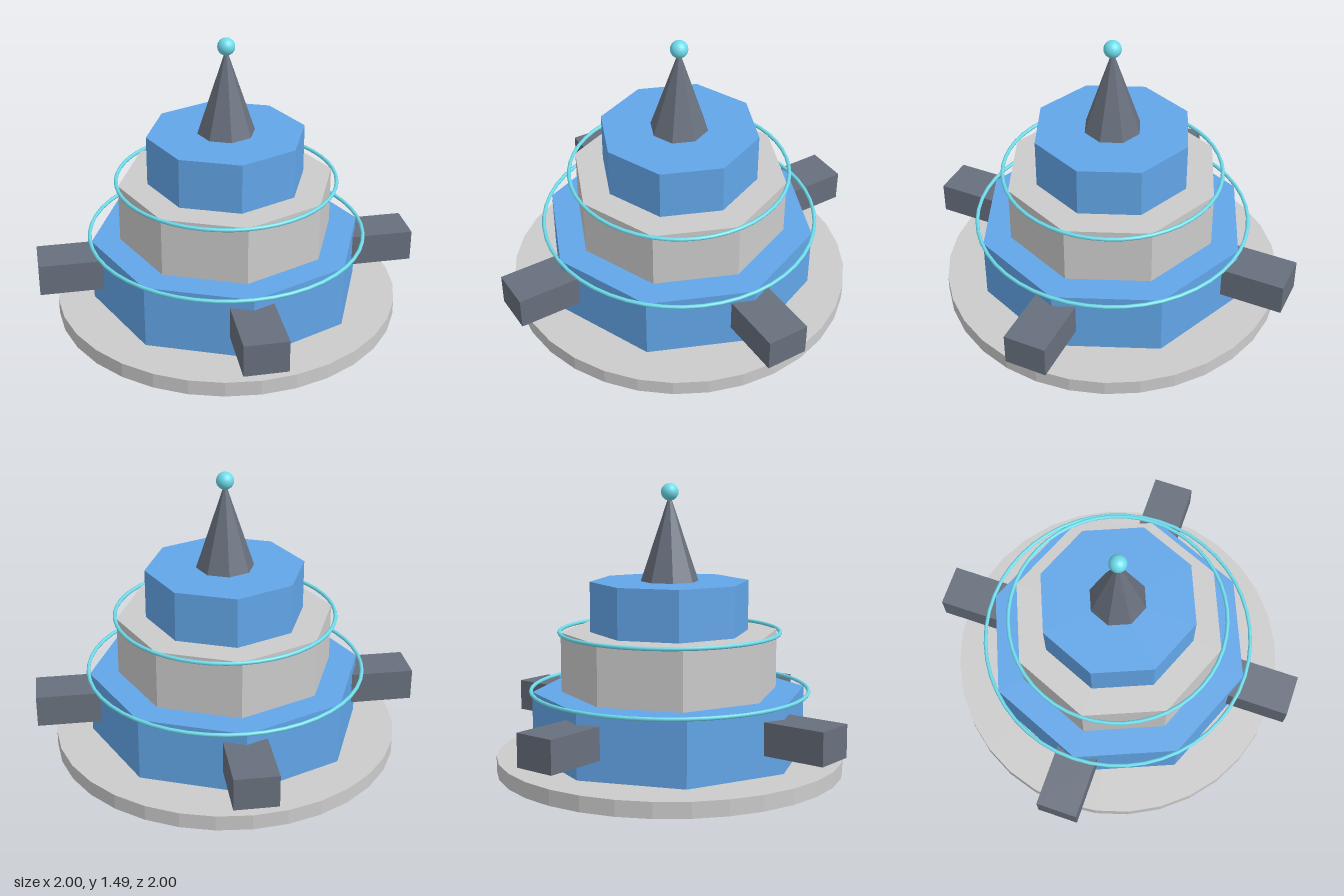
import * as THREE from 'three';

const material = (color, flatShading = true) =>
  new THREE.MeshStandardMaterial({ color, flatShading });

export function createModel() {
  const model = new THREE.Group();
  const grey = material(0xcccccc);
  const blue = material(0x62a6e8);
  const dark = material(0x68707d);
  const cyan = material(0x6fdcec, false);

  const add = (name, geometry, mat, x, y, z) => {
    const mesh = new THREE.Mesh(geometry, mat);
    mesh.name = name;
    mesh.position.set(x, y, z);
    model.add(mesh);
    return mesh;
  };

  // Upright prism between two heights
  const prism = (name, radius, y0, y1, sides, mat) =>
    add(name, new THREE.CylinderGeometry(radius, radius, y1 - y0, sides), mat, 0, (y0 + y1) / 2, 0);

  // Round base and three stacked octagonal tiers
  prism('base', 0.905, 0, 0.08, 32, grey);
  prism('lowerTier', 0.715, 0.08, 0.413, 8, blue);
  prism('middleTier', 0.565, 0.413, 0.722, 8, grey);
  prism('upperTier', 0.413, 0.722, 0.983, 8, blue);

  // Thin rings around the tier tops
  for (const [name, radius, y] of [['lowerRing', 0.723, 0.418], ['middleRing', 0.573, 0.722]]) {
    add(name, new THREE.TorusGeometry(radius, 0.01, 8, 48), cyan, 0, y, 0).rotation.x = Math.PI / 2;
  }

  // Four blocks projecting from the lower tier
  ['front', 'left', 'back', 'right'].forEach((side, i) => {
    const a = (i * Math.PI) / 2;
    const block = add(side + 'Block', new THREE.BoxGeometry(0.22, 0.167, 0.33), dark,
      Math.sin(a) * 0.835, 0.27, Math.cos(a) * 0.835);
    block.rotation.y = a;
  });

  // Spire and its ball
  add('spire', new THREE.ConeGeometry(0.15, 0.45, 8), dark, 0, 1.208, 0);
  add('spireBall', new THREE.SphereGeometry(0.045, 20, 14), cyan, 0, 1.44, 0);

  return model;
}
